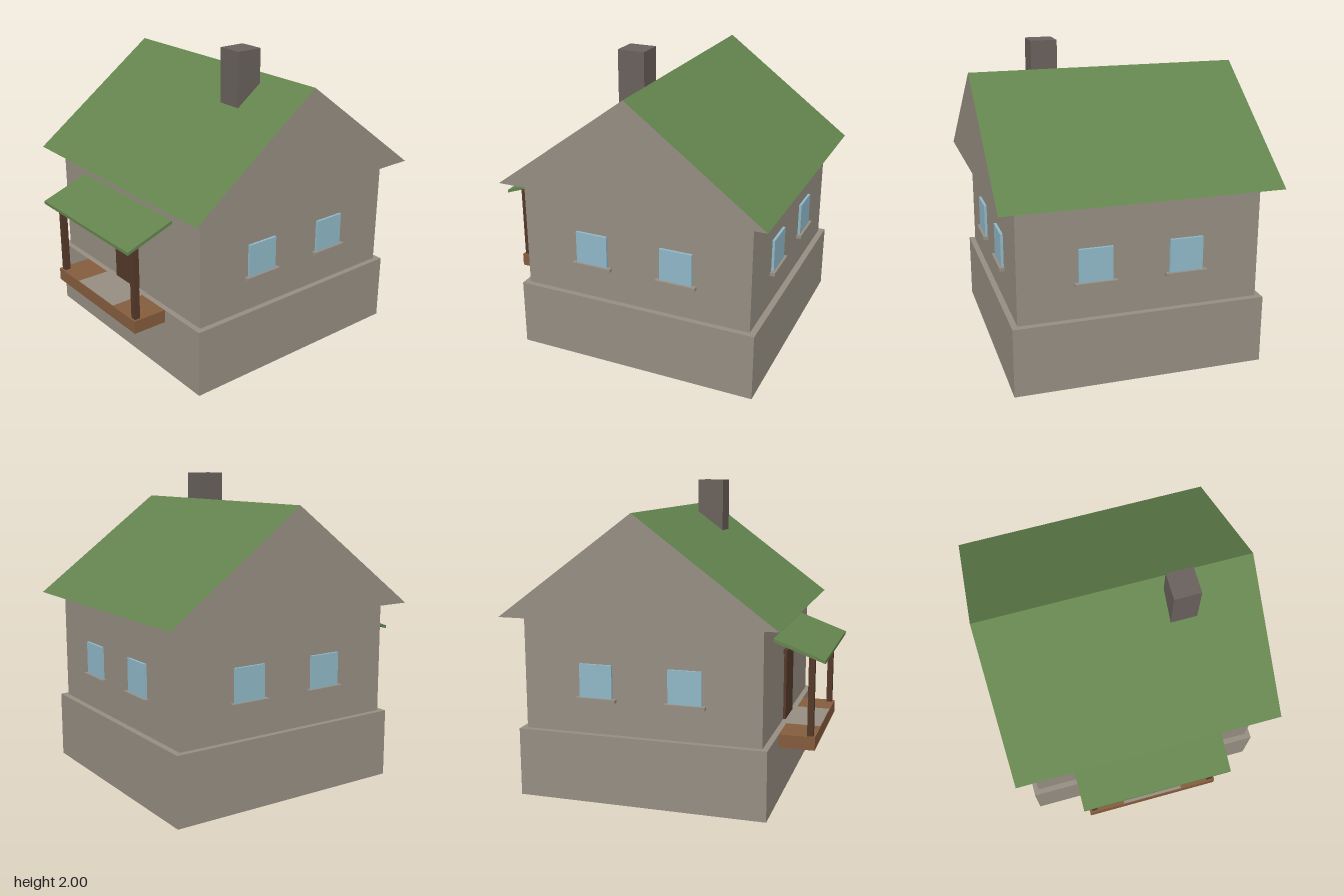
import * as THREE from 'three';

const mat = (name, color) => Object.assign(new THREE.MeshStandardMaterial({ color }), { name });

export function createModel() {
  const house = new THREE.Group();
  house.name = 'house';

  const stone = mat('warm grey plaster', 0x968e82);
  const green = mat('roof green', 0x64844e);
  const brick = mat('chimney grey', 0x69615c);
  const darkWood = mat('dark wood', 0x543929);
  const deckWood = mat('deck wood', 0x845c3c);
  const glass = mat('window blue', 0x90b8c8);

  const MID = -0.1; // depth centre of the house body

  // Box given by its limits on each axis
  function box(name, material, [x0, x1], [y0, y1], [z0, z1], parent = house) {
    const mesh = new THREE.Mesh(new THREE.BoxGeometry(x1 - x0, y1 - y0, z1 - z0), material);
    mesh.position.set((x0 + x1) / 2, (y0 + y1) / 2, (z0 + z1) / 2);
    mesh.name = name;
    parent.add(mesh);
    return mesh;
  }

  // Prism running along x from a (z, y) outline
  function prism(name, materials, outline, width) {
    const shape = new THREE.Shape(outline.map(([z, y]) => new THREE.Vector2(-z, y)));
    const geo = new THREE.ExtrudeGeometry(shape, { depth: width, bevelEnabled: false });
    geo.translate(0, 0, -width / 2).rotateY(Math.PI / 2);
    const mesh = new THREE.Mesh(geo, materials);
    mesh.name = name;
    house.add(mesh);
  }

  // Body
  box('foundation', stone, [-0.807, 0.807], [0, 0.443], [-0.91, 0.705]);
  box('walls', stone, [-0.77, 0.77], [0.443, 1.175], [-0.87, 0.668]);

  // Gable roof: plastered ends, green slopes and soffit
  prism('roof', [stone, green], [[0.778, 1.175], [-0.105, 1.828], [-0.988, 1.175]], 1.764);
  box('chimney', brick, [0.297, 0.467], [1.6, 2], [-0.04, 0.135]);

  // Porch
  box('porchDeck', deckWood, [-0.458, 0.458], [0.358, 0.443], [0.705, 0.932]);
  box('porchPaving', stone, [-0.21, 0.21], [0.44, 0.445], [0.668, 0.928]);
  prism('porchRoof', green, [[0.668, 1.06], [0.668, 1.038], [0.99, 0.922], [0.99, 0.942]], 1);
  for (const side of [-1, 1]) {
    const x = side * 0.423;
    box('porchPost', darkWood, [x - 0.02, x + 0.02], [0.443, 0.945], [0.88, 0.918]);
  }

  // Door with lintel
  box('door', darkWood, [-0.125, 0.125], [0.443, 0.89], [0.66, 0.685]);
  box('doorLintel', darkWood, [-0.15, 0.15], [0.89, 0.92], [0.66, 0.694]);

  // Windows: built facing +z at the wall plane, then turned into place
  function addWindow(x, z, turn) {
    const win = new THREE.Group();
    win.name = 'window';
    box('windowPane', glass, [-0.107, 0.107], [0.675, 0.89], [-0.01, 0.017], win);
    box('windowSill', stone, [-0.133, 0.133], [0.655, 0.677], [-0.01, 0.033], win);
    win.position.set(x, 0, z);
    win.rotation.y = turn;
    house.add(win);
  }
  for (const offset of [-0.288, 0.288]) {
    addWindow(0.77, MID + offset, Math.PI / 2);
    addWindow(-0.77, MID + offset, -Math.PI / 2);
    addWindow(offset, -0.87, Math.PI);
  }

  return house;
}
